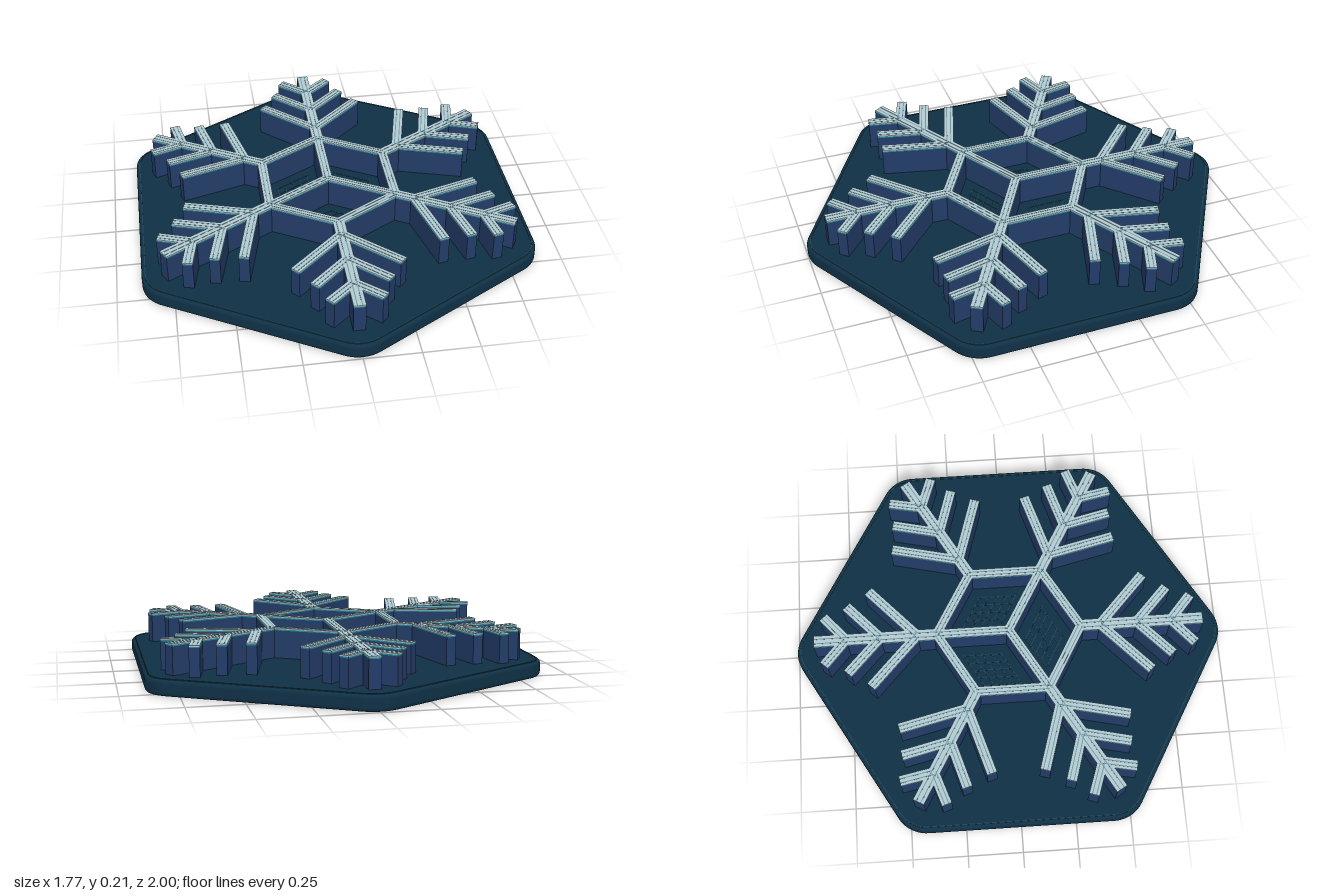
import * as THREE from 'three';

const mat = (name, color) => {
  const m = new THREE.MeshStandardMaterial({ color });
  m.name = name;
  return m;
};

// Hexagon with rounded corners, points along the second axis
function traceHexagon(path, apothem, radius) {
  const c = (apothem - radius) / Math.cos(Math.PI / 6);
  for (let i = 0; i < 6; i++) {
    const mid = Math.PI / 2 + i * Math.PI / 3;
    for (let j = 0; j <= 10; j++) {
      const a = mid + (j / 10 - 0.5) * Math.PI / 3;
      const x = c * Math.cos(mid) + radius * Math.cos(a);
      const y = c * Math.sin(mid) + radius * Math.sin(a);
      if (i + j === 0) path.moveTo(x, y); else path.lineTo(x, y);
    }
  }
  path.closePath();
  return path;
}

export function createModel() {
  const group = new THREE.Group();
  const baseMat = mat('deep teal', 0x0f3045);
  const bodyMat = mat('navy', 0x233c68);
  const edgeMat = mat('teal edge', 0x2a8396);
  const capMat = mat('frost', 0xb2cbd2);
  const grooveMat = mat('grey teal', 0x6f949e);
  const lineMat = mat('dim teal', 0x1d4552);

  const add = (name, geo, material, parent = group) => {
    const mesh = new THREE.Mesh(geo, material);
    mesh.name = name;
    parent.add(mesh);
    return mesh;
  };

  // Base plate with softened rim
  const bevel = 0.016;
  const plate = new THREE.ExtrudeGeometry(traceHexagon(new THREE.Shape(), 0.887 - bevel, 0.155 - bevel), {
    depth: 0.072 - 2 * bevel, bevelThickness: bevel, bevelSize: bevel, bevelSegments: 3, steps: 1
  });
  plate.rotateX(-Math.PI / 2).translate(0, bevel, 0);
  add('basePlate', plate, baseMat);

  // Fine line just inside the rim
  const rim = traceHexagon(new THREE.Shape(), 0.872, 0.142);
  rim.holes.push(traceHexagon(new THREE.Path(), 0.868, 0.138));
  const rimGeo = new THREE.ExtrudeGeometry(rim, { depth: 0.004, bevelEnabled: false });
  add('rimLine', rimGeo.rotateX(-Math.PI / 2).translate(0, 0.071, 0), lineMat);

  // Box running between two points on the ground plane
  const strip = (name, a, b, width, y0, y1, material, offset = 0, extra = 0) => {
    const dx = b[0] - a[0], dz = b[1] - a[1];
    const geo = new THREE.BoxGeometry(Math.hypot(dx, dz) + extra, y1 - y0, width);
    geo.translate(0, 0, offset);
    geo.rotateY(-Math.atan2(dz, dx));
    geo.translate((a[0] + b[0]) / 2, (y0 + y1) / 2, (a[1] + b[1]) / 2);
    return add(name, geo, material);
  };

  // Raised bar: navy body, teal edge, frosted cap and two fine lines
  const bar = (name, a, b, width, extra = 0) => {
    strip(name + 'Body', a, b, width, 0.07, 0.198, bodyMat, 0, extra);
    strip(name + 'Edge', a, b, width, 0.198, 0.204, edgeMat, 0, extra);
    strip(name + 'Cap', a, b, width, 0.204, 0.209, capMat, 0, extra);
    for (const s of [-1, 1]) strip(name + 'Line', a, b, 0.004, 0.208, 0.21, grooveMat, s * width * 0.2);
  };

  const turn = ([x, z], i) => {
    const a = i * Math.PI / 3, c = Math.cos(a), s = Math.sin(a);
    return [x * c - z * s, x * s + z * c];
  };

  // Six arms, each with three pairs of branches, joined by a ring
  const R = 0.335;
  const branches = [[0.425, 0.235, 0.645], [0.595, 0.165, 0.75], [0.755, 0.118, 0.858]];
  for (let i = 0; i < 6; i++) {
    bar('arm', turn([0, -R], i), turn([0, -0.905], i), 0.054);
    bar('ring', turn([0, -R], i), turn([0, -R], i + 1), 0.044, 0.024);
    for (const [root, x, z] of branches)
      for (const s of [-1, 1]) bar('branch', turn([0, -root], i), turn([s * x, -z], i), 0.047);
  }

  // Three spokes that divide the ring into rhombuses, with a faint lattice on each floor
  for (let k = 0; k < 6; k += 2) {
    const u = turn([0, -R], k), v = turn([0, -R], k + 2);
    bar('spoke', [0, 0], u, 0.044, 0.02);
    const at = (s, t) => [u[0] * s + v[0] * t, u[1] * s + v[1] * t];
    for (let n = 0; n < 5; n++) {
      const t = 0.24 + n * 0.13;
      strip('latticeLine', at(0.22, t), at(0.78, t), 0.003, 0.071, 0.074, lineMat);
      strip('latticeLine', at(t, 0.22), at(t, 0.78), 0.003, 0.071, 0.074, lineMat);
    }
  }
  return group;
}
